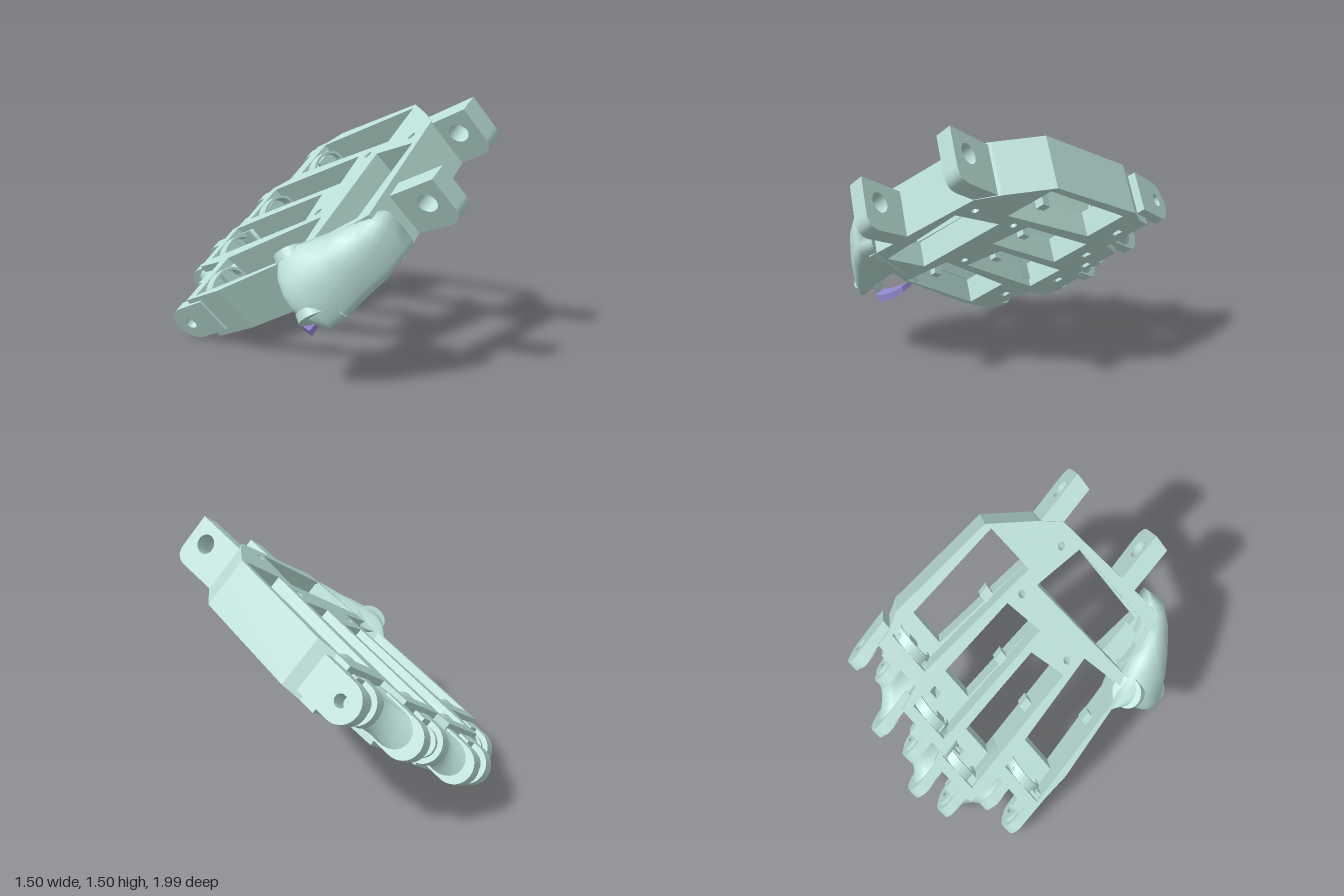
import * as THREE from 'three';

// Skewed working frame: X across the palm, Z toward the wrist, D through the thickness
const X = new THREE.Vector3(1, 0.667, 0);
const Z = new THREE.Vector3(0, 0.4615, 1);
const D = new THREE.Vector3(0.16, -0.24, 0.11);
const O = new THREE.Vector3(0, 0.953, 0);
const at = (x, z, t) => O.clone().addScaledVector(X, x).addScaledVector(Z, z).addScaledVector(D, t);

export function createModel() {
  const shell = new THREE.MeshStandardMaterial({ color: 0xb9ddd5, side: THREE.DoubleSide });
  shell.name = 'pale green shell';
  const violet = new THREE.MeshStandardMaterial({ color: 0x8f86cc, side: THREE.DoubleSide });
  violet.name = 'violet insert';
  const model = new THREE.Group();
  model.name = 'palm';

  const add = (name, geo, mat = shell) => {
    const mesh = new THREE.Mesh(geo, mat);
    mesh.name = name;
    model.add(mesh);
    return mesh;
  };
  const poly = (pts, Type = THREE.Shape) => new Type(pts.map(p => new THREE.Vector2(p[0], p[1])));
  const rect = (x0, y0, x1, y1, Type) => poly([[x0, y0], [x1, y0], [x1, y1], [x0, y1]], Type);
  const oval = (x, y, rx, ry, Type = THREE.Path) => new Type().absellipse(x, y, rx, ry, 0, Math.PI * 2, false);
  // Extrude a shape drawn on axes a, b along axis c
  const extrude = (shape, depth, a, b, c, origin) => {
    const geo = new THREE.ExtrudeGeometry(shape, { depth, bevelEnabled: false, curveSegments: 20 });
    return geo.applyMatrix4(new THREE.Matrix4().makeBasis(a, b, c).setPosition(origin));
  };
  // Slab across the palm, outlined in (z, t)
  const slab = (name, shape, x, w) => add(name, extrude(shape, w, Z, D, X, at(x - w / 2, 0, 0)));
  // Skin over rings of equal length, closed at both ends
  const loft = (rings) => {
    const n = rings[0].length, pos = [], idx = [];
    rings.forEach(r => r.forEach(p => pos.push(p.x, p.y, p.z)));
    for (let i = 0; i < rings.length - 1; i++) {
      for (let j = 0; j < n; j++) {
        const a = i * n + j, b = i * n + (j + 1) % n;
        idx.push(a, b, b + n, a, b + n, a + n);
      }
    }
    const last = (rings.length - 1) * n;
    for (let j = 1; j < n - 1; j++) idx.push(0, j + 1, j, last, last + j, last + j + 1);
    const geo = new THREE.BufferGeometry();
    geo.setAttribute('position', new THREE.Float32BufferAttribute(pos, 3));
    geo.setIndex(idx);
    geo.computeVertexNormals();
    return geo;
  };

  // Finger bays: wrist corners, x at the knuckle end, end z in the upper and lower layer
  const bays = [
    { L: [-0.55, 0.26], R: [-0.285, 0.20], bl: -0.585, br: -0.325, end: [-0.52, -0.36] },
    { L: [-0.255, 0.055], R: [-0.05, 0.0], bl: -0.26, br: -0.03, end: [-0.74, -0.57] },
    { L: [-0.015, 0.11], R: [0.20, 0.07], bl: 0.02, br: 0.25, end: [-0.67, -0.44] },
    { L: [0.22, 0.27], R: [0.485, 0.25], bl: 0.31, br: 0.545, end: [-0.5, -0.36] },
  ];
  const outline = [
    [-0.615, -0.3], [-0.56, 0.27], [-0.44, 0.66], [0.23, 0.56], [0.33, 0.46], [0.52, 0.24],
    [0.6, -0.4], [0.57, -0.5], [0.57, -0.59], [0.3, -0.59], [0.28, -0.73], [0, -0.73], [-0.02, -0.8],
    [-0.3, -0.8], [-0.33, -0.59], [-0.6, -0.59],
  ];
  const screwHoles = [[-0.22, 0.12], [0.17, 0.16], [0.165, 0.475]];
  const sockets = [[-0.41, -0.5], [-0.12, -0.68], [0.17, -0.56], [0.09, -0.68], [0.42, -0.5]];

  // Palm frame in two layers, so that each bay has a step at its knuckle end
  [0, 1].forEach(layer => {
    const shape = poly(outline);
    bays.forEach(b => shape.holes.push(
      poly([b.L, [b.bl, b.end[layer]], [b.br, b.end[layer]], b.R], THREE.Path)));
    const left = layer ? [[-0.41, 0.55], [-0.38, 0.29]] : [[-0.425, 0.575], [-0.49, 0.31]];
    shape.holes.push(poly([...left, [0.14, 0.25], [0.085, 0.54]], THREE.Path));
    screwHoles.forEach(([x, z]) => shape.holes.push(oval(x, z, 0.02, 0.02)));
    if (layer) sockets.forEach(([x, z]) => shape.holes.push(
      rect(x - 0.025, z - 0.02, x + 0.025, z + 0.02, THREE.Path)));
    add(layer ? 'lowerFrame' : 'upperFrame', extrude(shape, 0.5, X, Z, D, at(0, 0, layer * 0.5)));
  });

  // Cupped seat at the knuckle end and small clip on the side wall of every bay
  bays.forEach(b => {
    const cx = (b.bl + b.br) / 2, end = b.end[0];
    const ring = oval(0.36, 0, 0.35, 0.112, THREE.Shape);
    ring.holes.push(oval(0.36, 0, 0.3, 0.097));
    add('baySeat', extrude(ring, 0.06, D, X, Z, at(cx, end - 0.005, 0)));
    const z = (b.L[1] + end) / 2 + 0.09;
    slab('bayClip', rect(z, 0.4, z + 0.06, 0.7), (b.L[0] + b.bl) / 2 + 0.015, 0.05);
  });

  // Wrist lugs with cross holes, rounded on the lower corner: x, tip z, base z, upper t, lower t
  [[-0.23, 0.9, 0.56, 0.13, 1.06], [0.272, 0.765, 0.4, 0.04, 1]].forEach(([x, tip, base, t0, t1]) => {
    const s = new THREE.Shape();
    s.moveTo(base, t0);
    s.lineTo(tip, t0);
    s.lineTo(tip, t1 - 0.28);
    s.quadraticCurveTo(tip, t1, tip - 0.08, t1);
    s.lineTo(base, 0.98);
    s.holes.push(oval(tip - 0.11, t0 + 0.38, 0.052, 0.185));
    slab('wristLug', s, x, 0.09);
  });

  // Knuckle prongs: two rounded ears for each finger
  const T = 0.48, RZ = 0.108, RT = 0.385;
  const fingers = [
    [[-0.59, -0.68], [-0.40, -0.69]],
    [[-0.25, -0.89], [-0.06, -0.935]],
    [[0.08, -0.82], [0.29, -0.85]],
    [[0.43, -0.65], [0.59, -0.69]],
  ];
  fingers.forEach(pair => pair.forEach(([x, z], side) => {
    const s = new THREE.Shape();
    s.moveTo(z + 0.2, T - RT);
    s.lineTo(z, T - RT);
    s.absellipse(z, T, RZ, RT, -Math.PI / 2, Math.PI / 2, true);
    s.lineTo(z + 0.2, T + RT);
    s.holes.push(oval(z, T, 0.034, 0.12));
    slab('knuckleProng', s, x, 0.055);
    // Raised ring on the side facing the finger
    const ring = oval(z, T, 0.08, 0.28, THREE.Shape);
    ring.holes.push(oval(z, T, 0.034, 0.12));
    slab('knuckleRing', ring, x + (side ? -0.033 : 0.033), 0.02);
    // Tongue beside the left prong
    if (!side) slab('knuckleTongue', rect(z + 0.03, 0.1, z + 0.18, 0.35), x + 0.06, 0.06);
  }));

  // Waisted webs joining neighbouring fingers
  for (let f = 0; f < 3; f++) {
    const [xa, za] = fingers[f][1], [xb, zb] = fingers[f + 1][0];
    const rings = [];
    for (let i = 0; i <= 8; i++) {
      const k = i / 8, waist = Math.sin(k * Math.PI);
      const x = xa + (xb - xa) * k, z = za + (zb - za) * k + 0.01 + 0.035 * waist;
      const rt = RT * (0.98 - 0.15 * waist), base = Math.max(za, zb) + 0.18;
      const ring = [at(x, base, T - rt)];
      for (let j = 0; j <= 14; j++) {
        const a = -Math.PI / 2 - Math.PI * j / 14;
        ring.push(at(x, z + RZ * Math.cos(a), T + rt * Math.sin(a)));
      }
      ring.push(at(x, base, T + rt));
      rings.push(ring);
    }
    add('knuckleWeb', loft(rings));
  }

  // Thumb base: a smooth mass flaring out of the side wall and front corner.
  // Each section has a rear end, a front end, a half thickness, a roundness and a downward shift.
  const e2 = D.clone().normalize();
  const sections = [
    [[-0.50, 0.485, 0.14], [-0.285, 0.895, 0.76], 0.152, 0.35, 0],
    [[-0.53, 0.57, 0.16], [-0.37, 0.85, 0.785], 0.158, 0.5, 0],
    [[-0.57, 0.61, 0.19], [-0.45, 0.76, 0.75], 0.168, 0.65, 0.01],
    [[-0.62, 0.60, 0.24], [-0.54, 0.64, 0.67], 0.168, 0.75, 0.01],
    [[-0.67, 0.54, 0.29], [-0.60, 0.51, 0.60], 0.148, 0.8, 0],
    [[-0.70, 0.49, 0.34], [-0.645, 0.43, 0.54], 0.11, 0.9, 0],
    [[-0.71, 0.46, 0.38], [-0.68, 0.43, 0.48], 0.04, 1, 0],
  ];
  add('thumbBase', loft(sections.map(([rear, front, b, power, shift]) => {
    const p = new THREE.Vector3(...rear), q = new THREE.Vector3(...front);
    const soft = v => Math.sign(v) * Math.pow(Math.abs(v), power);
    return Array.from({ length: 32 }, (_, j) => {
      const g = j / 32 * Math.PI * 2;
      return p.clone().lerp(q, 0.5 + 0.5 * soft(Math.cos(g))).addScaledVector(e2, shift + b * soft(Math.sin(g)));
    });
  })));

  // Thumb ears on a common hinge axis
  const hinge = new THREE.Vector3(0.08, 0.32, -0.26).normalize();
  const up = new THREE.Vector3(1, 0, 0).cross(hinge).normalize();
  const across = up.clone().cross(hinge).normalize();
  [[-0.59, 0.69, 0.28, 0.095], [-0.635, 0.42, 0.47, 0.09]].forEach(([x, y, z, r]) => {
    const ear = oval(0, 0, r, r, THREE.Shape);
    ear.holes.push(oval(0, 0, 0.033, 0.033));
    add('thumbEar', extrude(ear, 0.05, across, up, hinge, new THREE.Vector3(x, y, z)));
  });

  // Round seat and bracket of the thumb bay
  add('thumbSeat', extrude(oval(0.42, 0.34, 0.1, 0.3, THREE.Shape), 0.04, Z, D, X, at(-0.51, 0, 0)));
  slab('thumbBracket', rect(0.34, 0.25, 0.5, 0.55), -0.41, 0.1);

  // Stop post under the thumb
  const post = add('thumbPost', new THREE.CylinderGeometry(0.03, 0.03, 0.08, 16));
  post.position.set(-0.56, 0.46, 0.57);
  post.rotation.x = 1.2;

  // Curved violet pad below the thumb, running up and back into the shell
  const pad = new THREE.Shape();
  pad.moveTo(-0.62, 0.335);
  pad.lineTo(-0.59, 0.297);
  pad.quadraticCurveTo(-0.5, 0.325, -0.43, 0.385);
  pad.lineTo(-0.44, 0.415);
  pad.quadraticCurveTo(-0.53, 0.35, -0.62, 0.335);
  add('thumbPad', extrude(pad, 0.08, new THREE.Vector3(1, 0, -0.27), new THREE.Vector3(0, 1, 0),
    new THREE.Vector3(0, -0.3, 0.9), new THREE.Vector3(0, 0.024, 0.175)), violet);

  return model;
}
